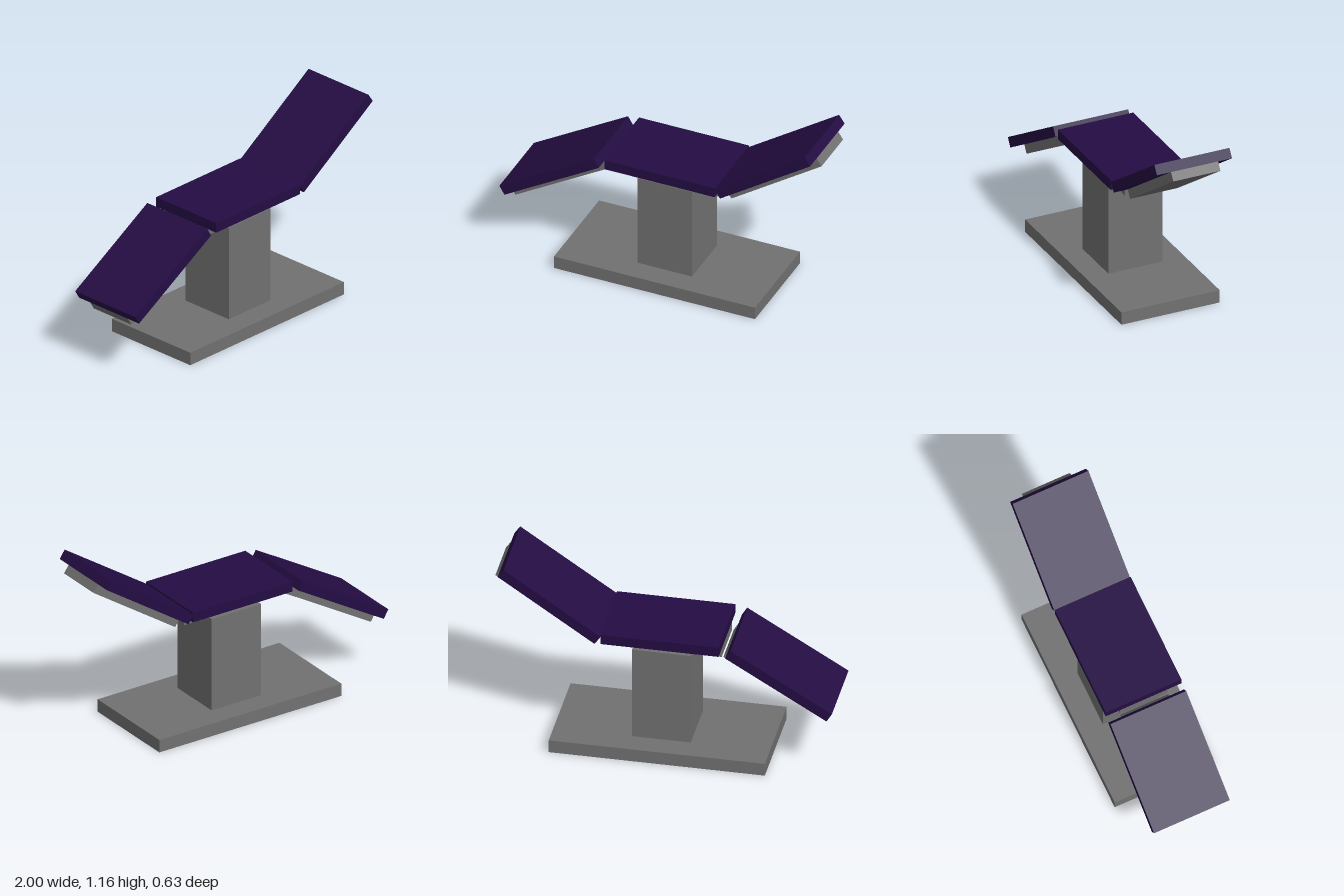
import * as THREE from 'three';

export function createModel() {
  const model = new THREE.Group();
  const metal = new THREE.MeshStandardMaterial({ color: 0x717171 });
  metal.name = 'grey metal';
  const vinyl = new THREE.MeshStandardMaterial({ color: 0x240d43 });
  vinyl.name = 'purple upholstery';

  function box(parent, name, size, pos, material) {
    const mesh = new THREE.Mesh(new THREE.BoxGeometry(...size), material);
    mesh.name = name;
    mesh.position.set(...pos);
    parent.add(mesh);
  }

  // Floor plate and pedestal
  box(model, 'base', [1.272, 0.08, 0.63], [0.016, 0.04, 0], metal);
  box(model, 'column', [0.345, 0.592, 0.348], [0.0175, 0.374, 0], metal);

  // Each section is a wide cushion on a narrower frame, tilted about z
  function section(name, length, x, y, z, degrees) {
    const group = new THREE.Group();
    group.name = name;
    box(group, name + 'Cushion', [length, 0.062, 0.482], [0, 0.028, 0], vinyl);
    box(group, name + 'Frame', [length, 0.056, 0.302], [0, -0.031, 0], metal);
    group.position.set(x, y, z);
    group.rotation.z = THREE.MathUtils.degToRad(degrees);
    model.add(group);
  }
  section('seat', 0.696, 0.016, 0.729, 0.003, 0);
  section('backrest', 0.688, 0.681, 0.919, 0, 34);
  section('legRest', 0.694, -0.671, 0.547, 0, 30.7);

  return model;
}
